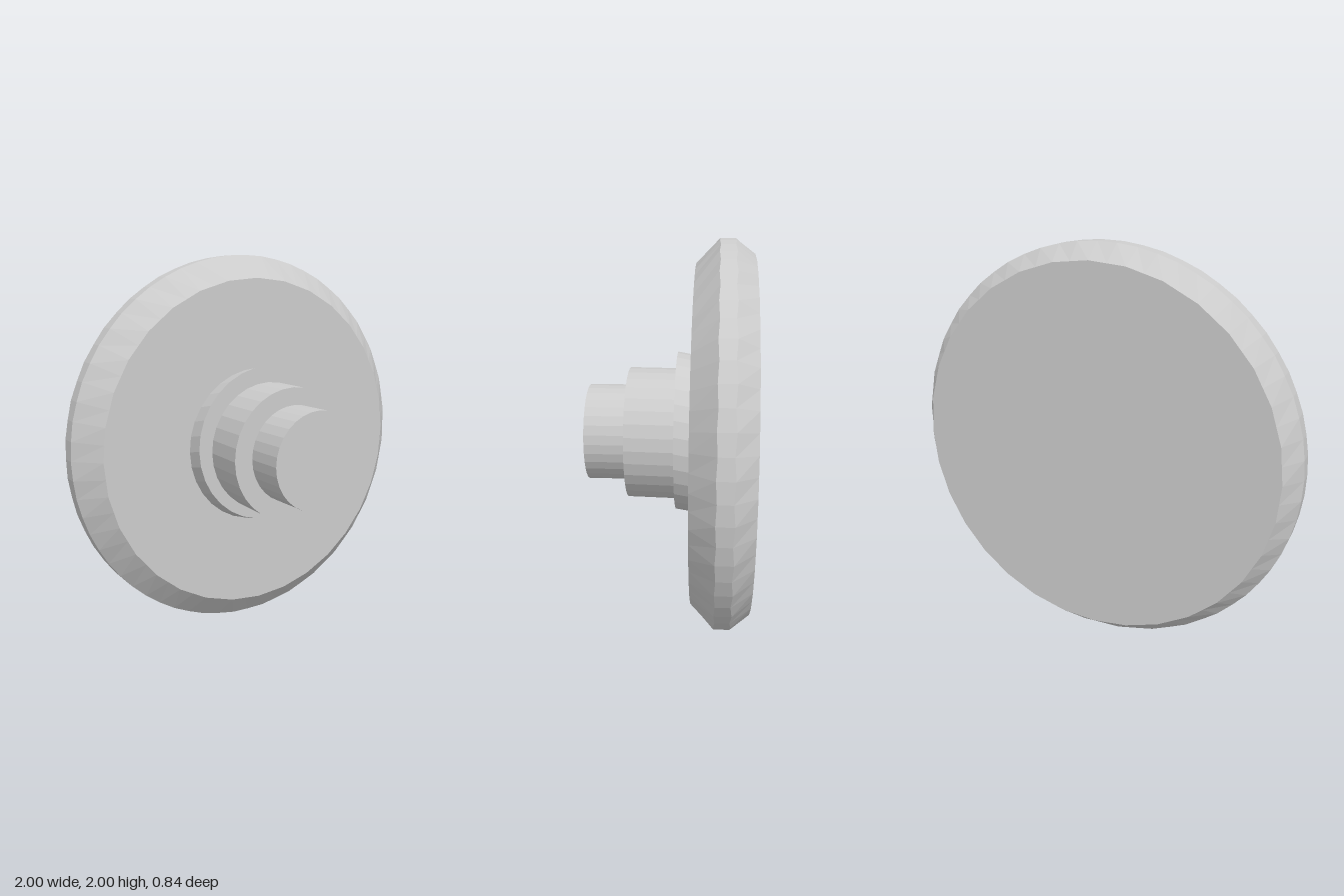
import * as THREE from 'three';

const SIDES = 32;
const material = new THREE.MeshStandardMaterial({ color: 0xcccccc, flatShading: true });

function addPart(group, name, geometry) {
  const mesh = new THREE.Mesh(geometry, material);
  mesh.name = name;
  group.add(mesh);
}

// Bevelled disc: 32 flat bevel facets cut a rounder rim, leaving scalloped edges.
function discGeometry() {
  const profile = [[0, -0.42], [0.925, -0.42], [1, -0.32], [1, -0.25], [0.88, -0.13], [0, -0.13]]
    .map(([r, z]) => new THREE.Vector2(r, z));
  const geometry = new THREE.LatheGeometry(profile, SIDES * 2);
  const pos = geometry.attributes.position;
  const chord = Math.cos(Math.PI / SIDES);
  const scallop = [0, 0, 0.007, -0.005, 0, 0];
  for (let i = 1; i < SIDES * 2; i += 2) {
    for (let j = 0; j < profile.length; j++) {
      const k = i * profile.length + j;
      if (scallop[j] === 0) {
        pos.setX(k, pos.getX(k) * chord);
        pos.setZ(k, pos.getZ(k) * chord);
      }
      pos.setY(k, pos.getY(k) - scallop[j]);
    }
  }
  return geometry.rotateX(Math.PI / 2);
}

// Cylinder along z whose back and front ends may be slightly out of line.
function skewedCylinder(radius, back, front) {
  const geometry = new THREE.CylinderGeometry(radius, radius, 1, SIDES).rotateX(Math.PI / 2);
  const pos = geometry.attributes.position;
  for (let i = 0; i < pos.count; i++) {
    const end = pos.getZ(i) > 0 ? front : back;
    pos.setXYZ(i, pos.getX(i) + end[0], pos.getY(i) + end[1], end[2]);
  }
  return geometry;
}

export function createModel() {
  const group = new THREE.Group();
  group.name = 'steppedKnob';
  const body = new THREE.Group();
  body.name = 'body';
  body.position.y = 1;
  group.add(body);

  addPart(body, 'disc', discGeometry());
  // Stepped hub, widest next to the disc
  addPart(body, 'collar', skewedCylinder(0.412, [-0.003, 0, -0.13], [0.004, 0.018, -0.04]));
  addPart(body, 'hub', skewedCylinder(0.342, [0.008, 0.002, -0.04], [-0.006, 0.002, 0.21]));
  addPart(body, 'tip', skewedCylinder(0.25, [0, 0.004, 0.2], [0, 0.004, 0.42]));
  return group;
}
